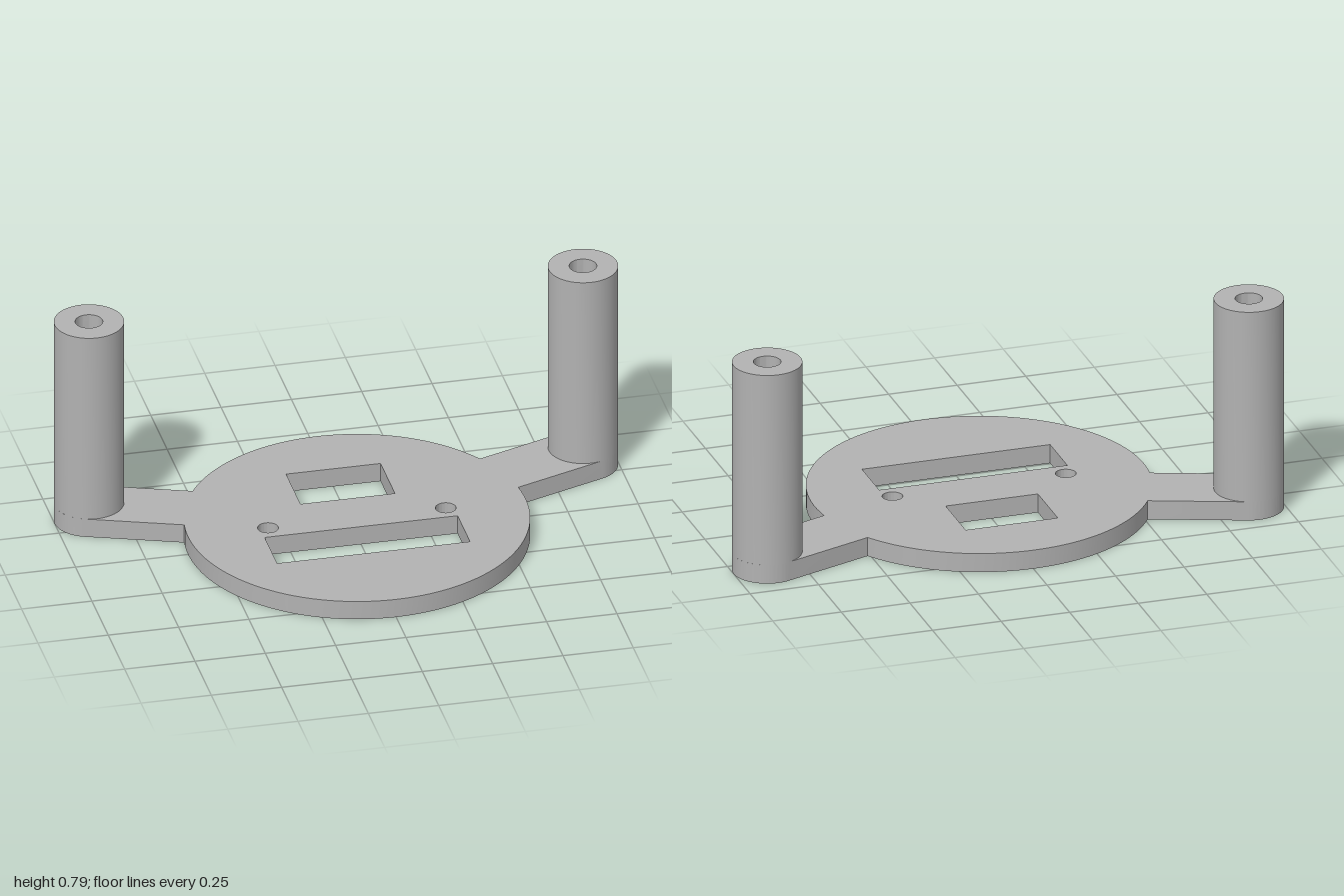
import * as THREE from 'three';
import { mergeGeometries, toCreasedNormals } from 'three/addons/utils/BufferGeometryUtils.js';

const PLATE = 0.07, HEIGHT = 0.785, DISC_R = 0.6;
const POST_R = 0.122, BORE_R = 0.083, HOLE_R = 0.048, PIN_R = 0.036;
const POST_X = 0.878, POST_Y = 0.319; // shape y runs towards the back (-z)
const PIN_X = 0.316, PIN_FLOOR = 0.025;

const circle = (x, y, r) => new THREE.Path().absarc(x, y, r, 0, Math.PI * 2, true);
const rect = (x, y0, y1) => new THREE.Path([[-x, y0], [-x, y1], [x, y1], [x, y0]]
  .map(([a, b]) => new THREE.Vector2(a, b))).closePath();

// Disc with two radial arms ending in round lugs
function outline() {
  const s = new THREE.Shape();
  const a = Math.atan2(POST_Y, POST_X), d = Math.asin(POST_R / DISC_R), q = Math.PI / 2;
  s.absarc(0, 0, DISC_R, a + d, Math.PI - a - d, false);
  s.absarc(-POST_X, POST_Y, POST_R, Math.PI - a - q, Math.PI - a + q, false);
  s.absarc(0, 0, DISC_R, Math.PI - a + d, 2 * Math.PI + a - d, false);
  s.absarc(POST_X, POST_Y, POST_R, a - q, a + q, false);
  s.closePath();
  return s;
}

// Vertical wall along a closed path; material lies to the left of the path
function wall(path, y0, y1, hole) {
  const pts = path.getPoints(32);
  if (THREE.ShapeUtils.isClockWise(pts) !== hole) pts.reverse();
  const pos = [];
  pts.forEach((p, i) => {
    const n = pts[(i + 1) % pts.length];
    if (p.distanceTo(n) < 1e-6) return;
    pos.push(p.x, y0, -p.y, n.x, y0, -n.y, n.x, y1, -n.y,
      p.x, y0, -p.y, n.x, y1, -n.y, p.x, y1, -p.y);
  });
  const g = new THREE.BufferGeometry();
  g.setAttribute('position', new THREE.Float32BufferAttribute(pos, 3));
  return g;
}

// Horizontal face facing up or down
function face(shape, y, up) {
  const g = new THREE.ShapeGeometry(shape, 32).toNonIndexed();
  g.deleteAttribute('uv');
  g.deleteAttribute('normal');
  if (!up) {
    const p = g.attributes.position.array;
    for (let i = 0; i < p.length; i += 9)
      for (let k = 0; k < 3; k++) [p[i + 3 + k], p[i + 6 + k]] = [p[i + 6 + k], p[i + 3 + k]];
  }
  return g.rotateX(-Math.PI / 2).translate(0, y, 0);
}

export function createModel() {
  const group = new THREE.Group();
  const grey = new THREE.MeshStandardMaterial({ color: 0xb2b2b2 });
  grey.name = 'grey plastic';

  // Base plate: two windows, two post bores and two blind pin holes
  const through = [rect(0.168, 0.14, 0.36), rect(0.343, -0.255, -0.065),
    circle(POST_X, POST_Y, BORE_R), circle(-POST_X, POST_Y, BORE_R)];
  const pins = [circle(PIN_X, 0, PIN_R), circle(-PIN_X, 0, PIN_R)];
  const top = outline(), bottom = outline();
  top.holes = [...through, ...pins];
  bottom.holes = through;
  const parts = [face(top, PLATE, true), face(bottom, 0, false), wall(outline(), 0, PLATE, false)];
  through.forEach(h => parts.push(wall(h, 0, PLATE, true)));
  pins.forEach((h, i) => {
    parts.push(wall(h, PIN_FLOOR, PLATE, true));
    const floor = new THREE.Shape().absarc(i ? -PIN_X : PIN_X, 0, PIN_R, 0, Math.PI * 2, false);
    parts.push(face(floor, PIN_FLOOR, true));
  });
  const plate = new THREE.Mesh(toCreasedNormals(mergeGeometries(parts), 0.5), grey);
  plate.name = 'basePlate';
  group.add(plate);

  // Hollow posts: wide bore from below, narrow screw hole at the top
  const profile = [[POST_R, PLATE], [POST_R, HEIGHT], [HOLE_R, HEIGHT], [HOLE_R, 0.6],
    [BORE_R, 0.6], [BORE_R, PLATE]].map(([r, y]) => new THREE.Vector2(r, y));
  const postGeometry = toCreasedNormals(new THREE.LatheGeometry(profile, 64), 0.5);
  for (const side of [1, -1]) {
    const post = new THREE.Mesh(postGeometry, grey);
    post.name = side > 0 ? 'leftPost' : 'rightPost';
    post.position.set(side * POST_X, 0, -POST_Y);
    group.add(post);
  }
  return group;
}
